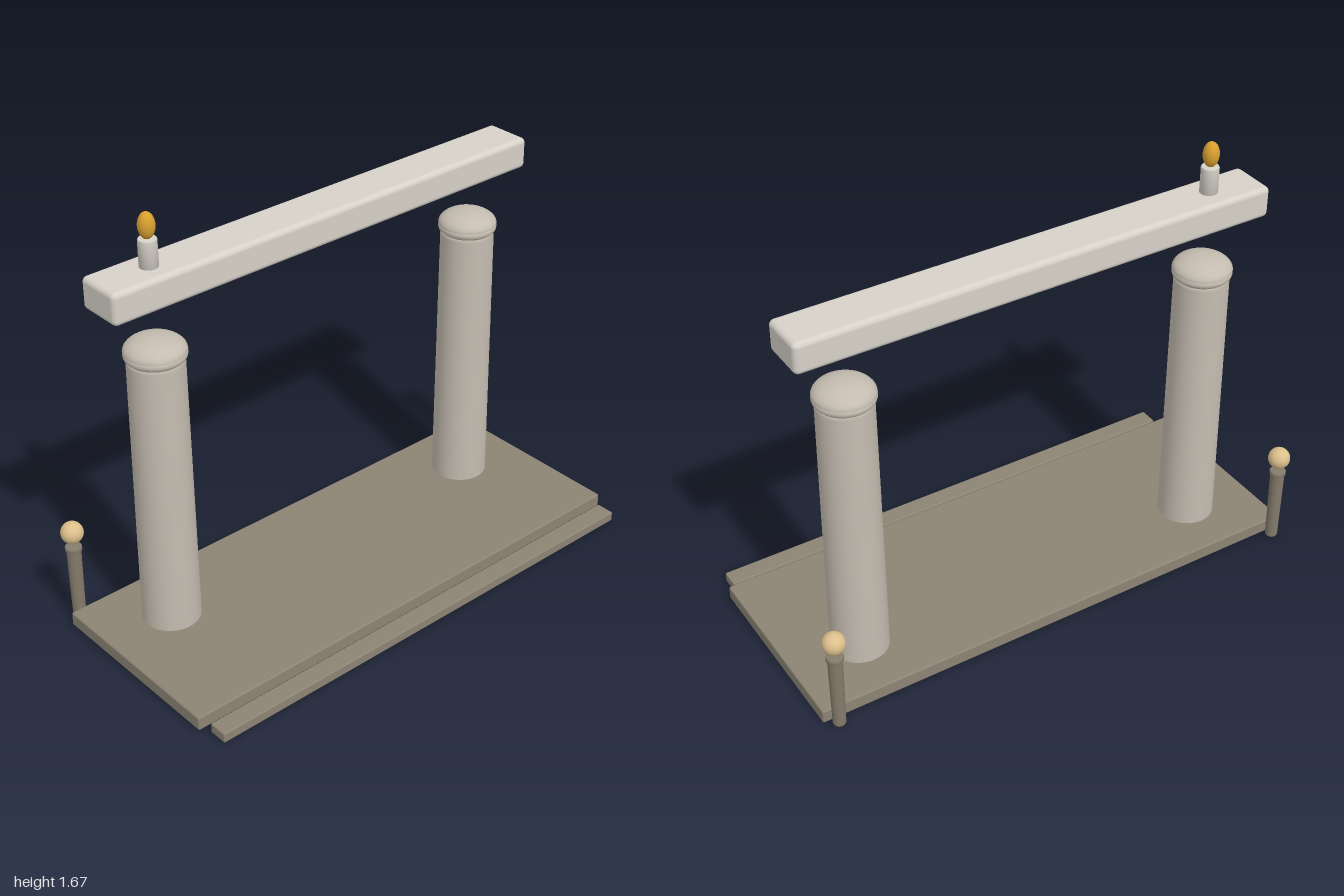
import * as THREE from 'three';
import { RoundedBoxGeometry } from 'three/addons/geometries/RoundedBoxGeometry.js';

const mat = (color) => new THREE.MeshStandardMaterial({ color });

export function createModel() {
  const group = new THREE.Group();
  const stone = mat(0xc4bcb0), pale = mat(0xd6d1c8), slab = mat(0x8c8474);
  const post = mat(0x847b6b), globe = mat(0xdcc08c), gold = mat(0xd9a030);

  const add = (name, geometry, material, x, y, z) => {
    const mesh = new THREE.Mesh(geometry, material);
    mesh.name = name;
    mesh.position.set(x, y, z);
    group.add(mesh);
    return mesh;
  };
  const lathe = (points, segments = 40) =>
    new THREE.LatheGeometry(points.map(([r, y]) => new THREE.Vector2(r, y)), segments);

  // Floor slab and the lower front step
  add('floorSlab', new RoundedBoxGeometry(2, 0.055, 0.76, 2, 0.007), slab, 0, 0.0325, -0.02);
  add('frontStep', new RoundedBoxGeometry(1.94, 0.04, 0.075, 2, 0.006), slab, 0, 0.02, 0.4225);

  // Tapered column with softened top edge
  const shaft = lathe([[0, 0.03], [0.108, 0.03], [0.108, 0.06], [0.101, 1.12], [0.096, 1.135], [0, 1.135]]);
  // Capital: rounded collar under a shallow dome
  const collar = new THREE.TorusGeometry(0.09, 0.02, 12, 40).rotateX(Math.PI / 2);
  const dome = new THREE.SphereGeometry(0.11, 40, 12, 0, Math.PI * 2, 0, Math.PI / 2).scale(1, 0.46, 1);
  // Small post, narrower at the foot, with a globe floating above it
  const postShape = lathe([[0, 0], [0.021, 0], [0.024, 0.006], [0.027, 0.295], [0.031, 0.3], [0.031, 0.312], [0.027, 0.317], [0, 0.317]], 20);
  const ball = new THREE.SphereGeometry(0.042, 24, 16);

  for (const [side, s] of [['left', 1], ['right', -1]]) {
    add(side + 'ColumnShaft', shaft, stone, s * 0.725, 0, -0.16);
    add(side + 'ColumnCollar', collar, stone, s * 0.725, 1.15, -0.16);
    add(side + 'ColumnDome', dome, stone, s * 0.725, 1.162, -0.16);
    add(side + 'LampPost', postShape, post, s * 0.95, 0.006, -0.425);
    add(side + 'LampGlobe', ball, globe, s * 0.95, 0.38, -0.425);
  }

  // Lintel beam hovering over the columns
  add('lintel', new RoundedBoxGeometry(1.865, 0.12, 0.183, 4, 0.02), pale, 0, 1.414, -0.162);

  // Candle and flame on the right end of the lintel
  const candle = lathe([[0, 0], [0.033, 0], [0.033, 0.1], [0.03, 0.105], [0, 0.105]], 24);
  add('candle', candle, pale, -0.727, 1.47, -0.162);
  const flame = new THREE.SphereGeometry(0.03, 20, 16).scale(1, 1.6, 1);
  add('flame', flame, gold, -0.727, 1.62, -0.162);

  return group;
}
